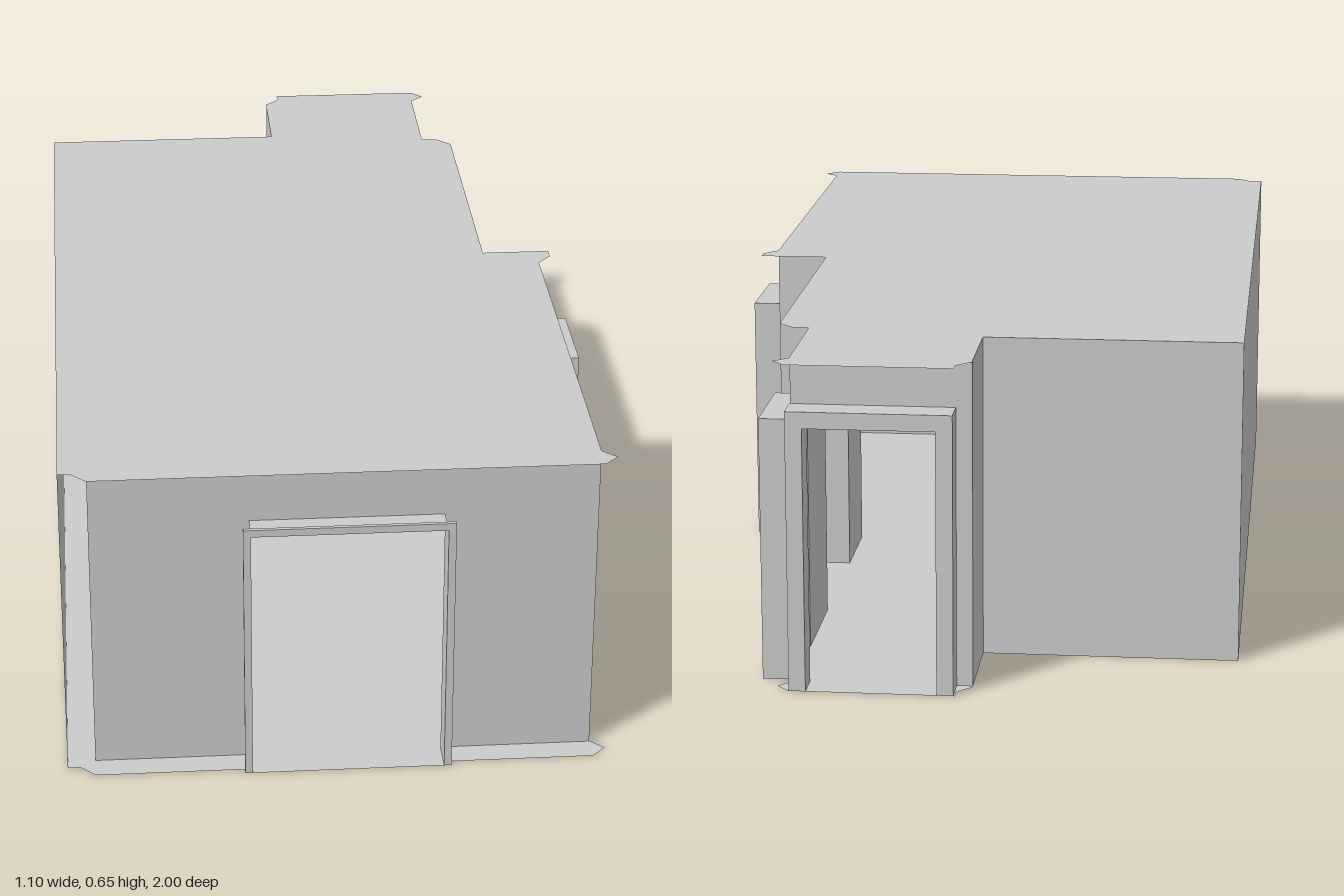
import * as THREE from 'three';

const H = 0.655, DOOR_H = 0.53;
const mat = new THREE.MeshStandardMaterial({ color: 0xcccccc, side: THREE.DoubleSide, flatShading: true });

function add(parent, name, geometry) {
  const mesh = new THREE.Mesh(geometry, mat);
  mesh.name = name;
  parent.add(mesh);
  return mesh;
}

const polygon = (pts) => new THREE.Shape(pts.map(([x, y]) => new THREE.Vector2(x, y)));

// Arch-shaped band around a doorway, open at the floor
const doorBand = (a, b, inner, outer, h) => polygon([
  [a - outer, 0], [a - outer, h + outer], [b + outer, h + outer], [b + outer, 0],
  [b + inner, 0], [b + inner, h + inner], [a - inner, h + inner], [a - inner, 0]]);

// Thin wall from p to q; its local +z points out of the room. door: from a to b along the wall
function wall(parent, name, p, q, door) {
  const group = new THREE.Group();
  const dx = q[0] - p[0], dz = q[1] - p[1], len = Math.hypot(dx, dz);
  group.name = name;
  group.position.set(p[0], 0, p[1]);
  group.rotation.y = Math.atan2(-dz, dx);
  parent.add(group);
  const outline = door
    ? [[0, 0], [door.a, 0], [door.a, DOOR_H], [door.b, DOOR_H], [door.b, 0], [len, 0], [len, H], [0, H]]
    : [[0, 0], [len, 0], [len, H], [0, H]];
  add(group, name + 'Panel', new THREE.ShapeGeometry(polygon(outline)));
  if (door) doorway(group, name, door);
}

function doorway(group, name, { a, b, depth, style }) {
  if (style === 'casing') {
    // Solid frame standing out from the wall
    add(group, name + 'Casing', new THREE.ExtrudeGeometry(
      doorBand(a, b, 0, 0.033, DOOR_H), { depth, bevelEnabled: false }));
    return;
  }
  // Thin jambs, lintel and sill
  for (const x of [a, b]) {
    const jamb = add(group, name + 'Jamb', new THREE.PlaneGeometry(depth, DOOR_H));
    jamb.rotation.y = Math.PI / 2;
    jamb.position.set(x, DOOR_H / 2, depth / 2);
  }
  for (const [part, y] of [['Lintel', DOOR_H], ['Sill', 0]]) {
    const slab = add(group, name + part, new THREE.PlaneGeometry(b - a, depth));
    slab.rotation.x = -Math.PI / 2;
    slab.position.set((a + b) / 2, y, depth / 2);
  }
  // Narrow raised trim around the outer edge
  if (style === 'trim') {
    const trim = add(group, name + 'Trim', new THREE.ExtrudeGeometry(
      doorBand(a, b, 0, 0.015, DOOR_H), { depth: 0.008, bevelEnabled: false }));
    trim.position.z = depth - 0.008;
  }
}

export function createModel() {
  const model = new THREE.Group();
  model.name = 'room';

  // Floor and ceiling share an outline with small corner tabs
  const plan = [
    [-0.555, -0.737], [-0.042, -0.737], [-0.042, -0.945], [-0.013, -0.975], [-0.013, -1],
    [0.314, -1], [0.34, -0.972], [0.311, -0.943], [0.311, -0.692], [0.343, -0.692], [0.375, -0.66],
    [0.375, -0.024], [0.518, -0.024], [0.518, 0.005], [0.49, 0.037], [0.49, 0.93], [0.518, 0.958],
    [0.49, 0.986], [-0.5, 0.986], [-0.53, 0.956], [-0.555, 0.956]];
  for (const [name, y] of [['floor', 0], ['ceiling', H]]) {
    const slab = add(model, name, new THREE.ShapeGeometry(polygon(plan.map(([x, z]) => [x, -z]))));
    slab.rotation.x = -Math.PI / 2;
    slab.position.y = y;
  }

  // Walls, anticlockwise seen from above
  wall(model, 'frontWall', [-0.5, 0.932], [0.49, 0.932], { a: 0.31, b: 0.69, depth: 0.068, style: 'trim' });
  wall(model, 'frontLeftWall', [0.49, 0.932], [0.49, 0.04], { a: 0.673, b: 0.875, depth: 0.059 });
  wall(model, 'stepWall', [0.49, 0.04], [0.311, 0.04]);
  wall(model, 'middleLeftWall', [0.311, 0.04], [0.311, -0.66], { a: 0.2, b: 0.53, depth: 0.069, style: 'trim' });
  wall(model, 'alcoveLeftWall', [0.311, -0.66], [0.311, -0.937], { a: 0.07, b: 0.272, depth: 0.064 });
  wall(model, 'alcoveBackWall', [0.311, -0.937], [-0.042, -0.937], { a: 0.031, b: 0.288, depth: 0.063, style: 'casing' });
  wall(model, 'alcoveRightWall', [-0.042, -0.937], [-0.042, -0.737]);
  wall(model, 'backWall', [-0.042, -0.737], [-0.555, -0.737]);
  wall(model, 'rightWall', [-0.555, -0.737], [-0.555, 0.967]);
  return model;
}
